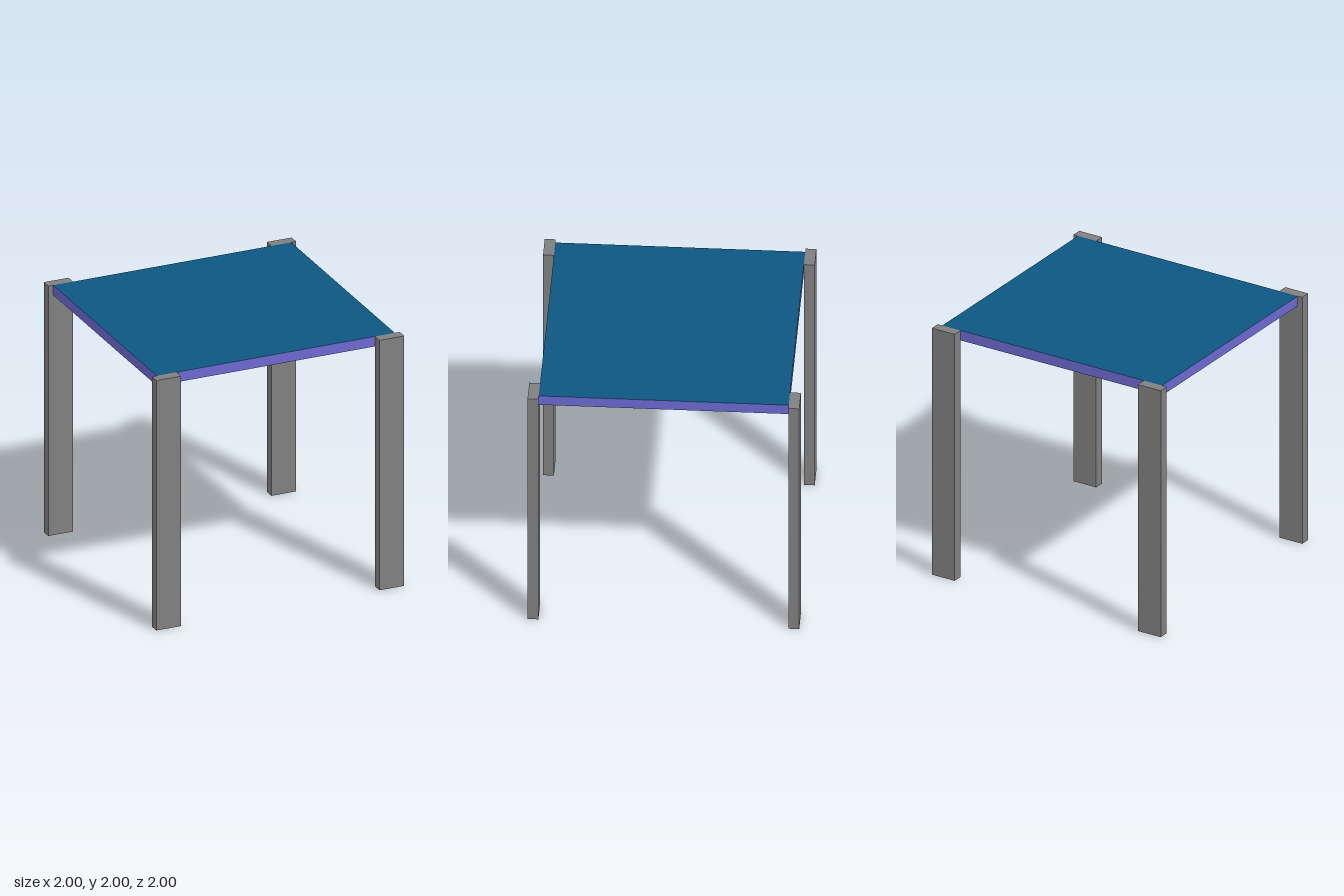
import * as THREE from 'three';

export function createModel() {
  const group = new THREE.Group();
  group.name = 'table';
  const material = (name, color) => {
    const m = new THREE.MeshStandardMaterial({ color });
    m.name = name;
    return m;
  };
  const legGrey = material('legGrey', 0x808080);
  const surfaceBlue = material('surfaceBlue', 0x0c5782);
  const edgeViolet = material('edgeViolet', 0x6c69cf);

  // Slab: blue above and below, violet around its edge
  const top = new THREE.Mesh(new THREE.BoxGeometry(1.92, 0.08, 1.84),
    [edgeViolet, edgeViolet, surfaceBlue, surfaceBlue, edgeViolet, edgeViolet]);
  top.name = 'tableTop';
  top.position.y = 1.96;
  group.add(top);

  // Four flat legs against the front and back edges
  const legGeometry = new THREE.BoxGeometry(0.2, 2, 0.08);
  for (const [z, end] of [[0.96, 'front'], [-0.96, 'back']]) {
    for (const [x, side] of [[0.9, 'Left'], [-0.9, 'Right']]) {
      const leg = new THREE.Mesh(legGeometry, legGrey);
      leg.name = `${end}${side}Leg`;
      leg.position.set(x, 1, z);
      group.add(leg);
    }
  }
  return group;
}
